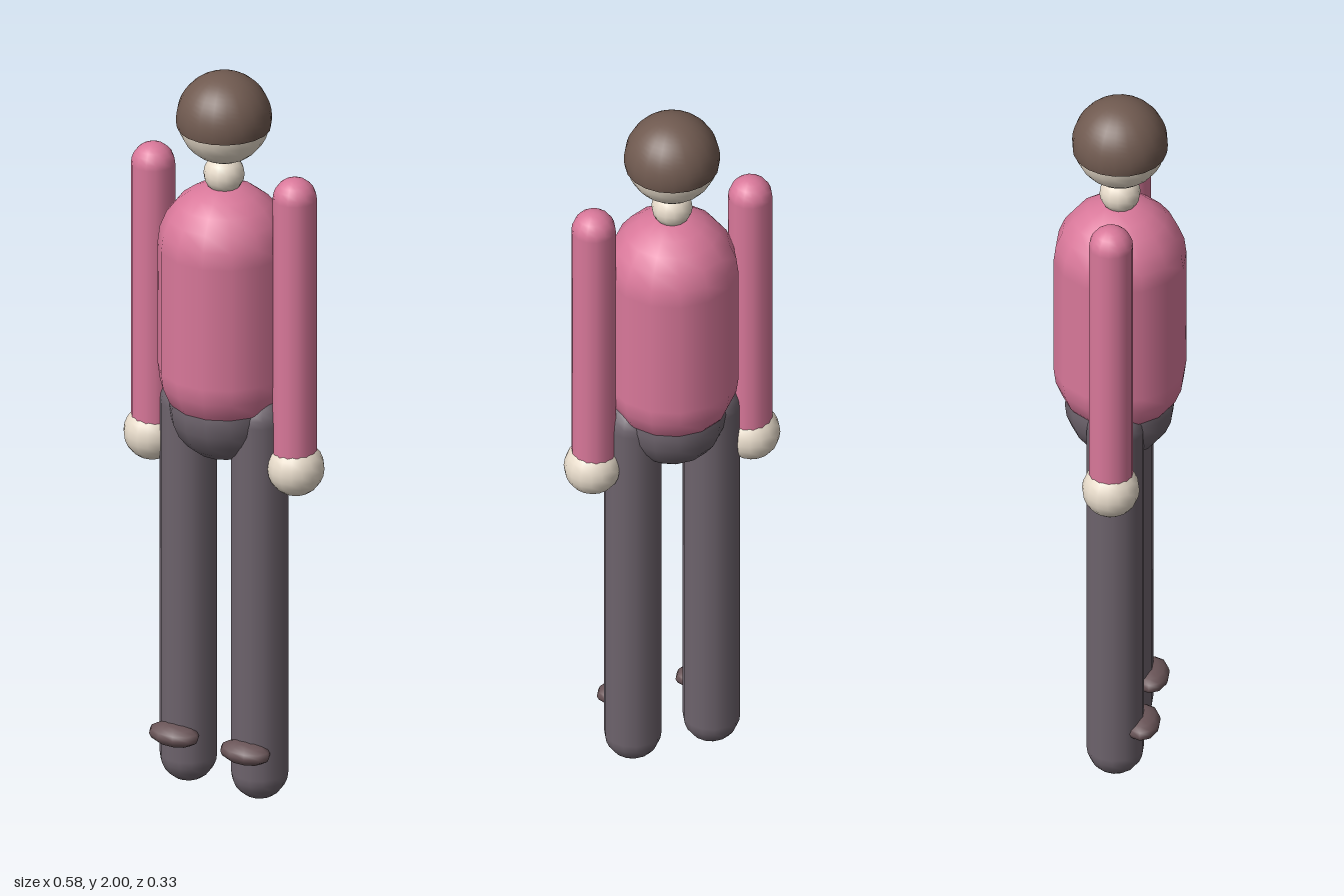
import * as THREE from 'three';

const paint = (color, side = THREE.FrontSide) => new THREE.MeshStandardMaterial({ color, side });

export function createModel() {
  const model = new THREE.Group();
  const skin = paint(0xe8dccb);
  const shirt = paint(0xd9789a);
  const trousers = paint(0x6d636c);
  const shoe = paint(0x6a5558);
  const hairMat = paint(0x705a50, THREE.DoubleSide);

  const add = (name, geometry, material, x, y, z = 0) => {
    const mesh = new THREE.Mesh(geometry, material);
    mesh.name = name;
    mesh.position.set(x, y, z);
    model.add(mesh);
    return mesh;
  };
  // Upright capsule spanning from bottom to top
  const capsule = (name, r, bottom, top, material, x) =>
    add(name, new THREE.CapsuleGeometry(r, top - bottom - 2 * r, 6, 14), material, x, (top + bottom) / 2);

  // Head, hair cap and neck
  add('head', new THREE.SphereGeometry(0.12, 20, 16), skin, 0, 1.878);
  add('hair', new THREE.SphereGeometry(0.123, 20, 16, 0, Math.PI * 2, 0, Math.PI * 0.563), hairMat, 0, 1.877);
  add('neck', new THREE.SphereGeometry(0.053, 14, 10), skin, 0, 1.722);

  // Torso and hips
  capsule('torso', 0.171, 1.014, 1.693, shirt, 0);
  add('hips', new THREE.SphereGeometry(0.142, 14, 12), trousers, 0, 1.072);

  // Limbs, mirrored left and right
  for (const [side, s] of [['left', 1], ['right', -1]]) {
    capsule(side + 'Arm', 0.057, 0.91, 1.757, shirt, s * 0.213);
    add(side + 'Hand', new THREE.SphereGeometry(0.074, 16, 12), skin, s * 0.216, 0.948);
    capsule(side + 'Leg', 0.074, 0, 1.134, trousers, s * 0.107);
    add(side + 'Shoe', new THREE.SphereGeometry(1, 10, 8), shoe, s * 0.107, 0.15, 0.07)
      .scale.set(0.072, 0.03, 0.046);
  }
  return model;
}
